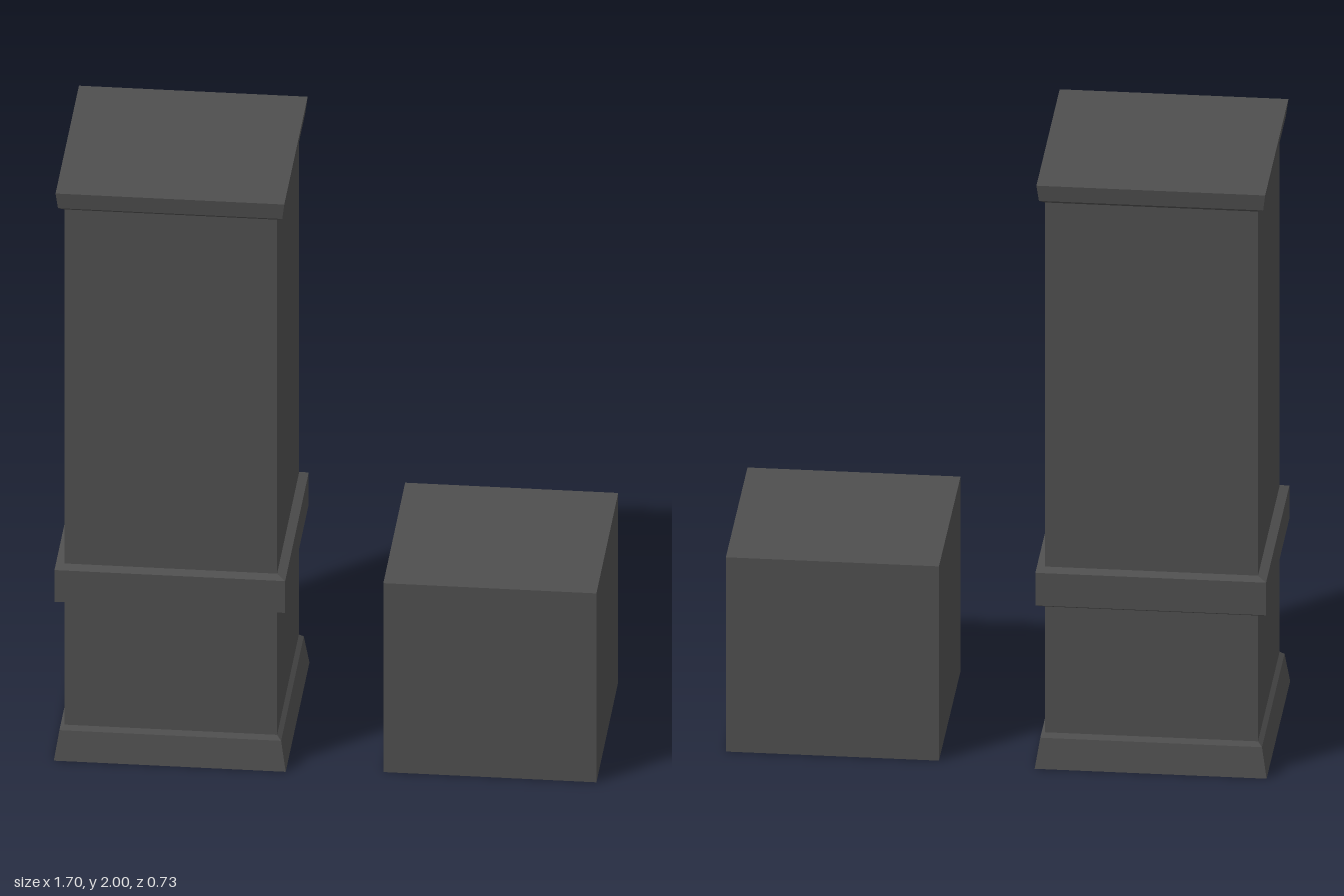
import * as THREE from 'three';

const stone = new THREE.MeshStandardMaterial({ color: 0x4e4e4e });
stone.name = 'dark grey stone';

// Closed square solid swept through [halfWidth, y] pairs, with flat faces
function squareSolid(name, profile) {
  const points = [[0, profile[0][1]], ...profile, [0, profile[profile.length - 1][1]]]
    .map(([half, y]) => new THREE.Vector2(half * Math.SQRT2, y));
  const geometry = new THREE.LatheGeometry(points, 4, Math.PI / 4).toNonIndexed();
  geometry.computeVertexNormals();
  const mesh = new THREE.Mesh(geometry, stone);
  mesh.name = name;
  return mesh;
}

export function createModel() {
  const model = new THREE.Group();
  model.name = 'pillarAndBlock';

  // Square pillar with plinth, waist band and cap
  const pillar = new THREE.Group();
  pillar.name = 'pillar';
  pillar.position.x = -0.485;
  pillar.add(
    squareSolid('plinth', [[0.363, 0], [0.347, 0.1], [0.333, 0.113]]),
    squareSolid('lowerShaft', [[0.333, 0.113], [0.333, 0.545]]),
    squareSolid('waistBand', [[0.333, 0.545], [0.361, 0.56], [0.361, 0.672], [0.333, 0.682]]),
    squareSolid('upperShaft', [[0.333, 0.682], [0.333, 1.932]]),
    squareSolid('cap', [[0.333, 1.932], [0.351, 1.945], [0.358, 2]]),
  );
  model.add(pillar);

  // Plain cube standing beside the pillar
  const block = new THREE.Mesh(new THREE.BoxGeometry(0.667, 0.667, 0.667), stone);
  block.name = 'block';
  block.position.set(0.514, 0.3335, 0);
  model.add(block);

  return model;
}
